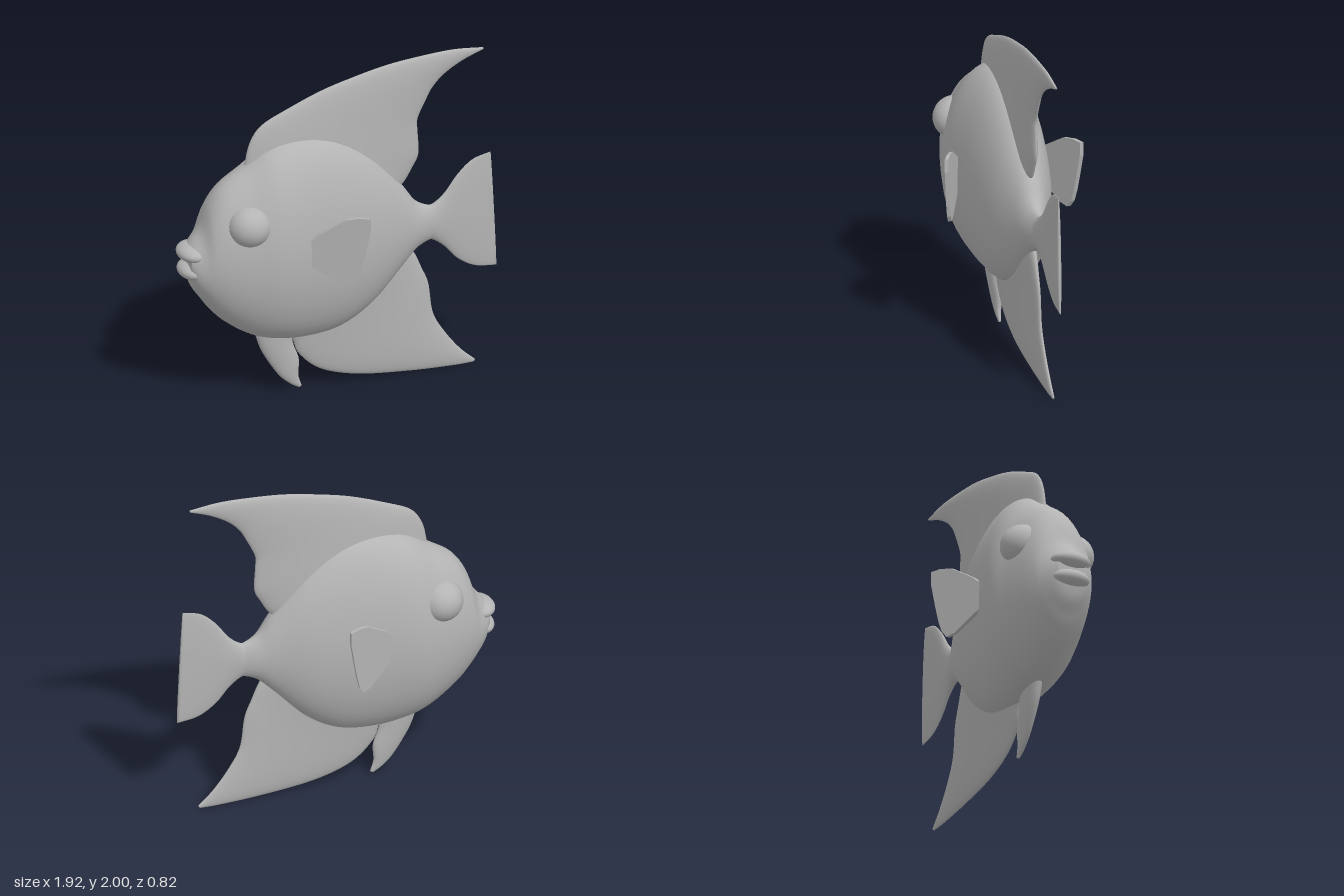
import * as THREE from 'three';

const skin = new THREE.MeshStandardMaterial({ color: 0xb4b4b4 });
skin.name = 'grey skin';

// Lofts lens-shaped sections. Each row is [ax, ay, bx, by, halfWidth]:
// a chord from A to B in the x-y plane, bulging to both sides in z.
function loft(name, rows, steps = 40, sides = 36, bias = 0) {
  const curveA = new THREE.CatmullRomCurve3(rows.map(r => new THREE.Vector3(r[0], r[1], r[4])), false, 'catmullrom', 0.5);
  const curveB = new THREE.CatmullRomCurve3(rows.map(r => new THREE.Vector3(r[2], r[3], 0)), false, 'catmullrom', 0.5);
  const pos = [], idx = [];
  for (let i = 0; i <= steps; i++) {
    const a = curveA.getPoint(i / steps), b = curveB.getPoint(i / steps);
    for (let j = 0; j < sides; j++) {
      const t = j / sides * Math.PI * 2, k = (1 - Math.cos(t)) / 2;
      pos.push(a.x + (b.x - a.x) * k, a.y + (b.y - a.y) * k,
        a.z * Math.sin(t) * (1 - bias * Math.cos(t)));
    }
  }
  for (let i = 0; i < steps; i++) {
    for (let j = 0; j < sides; j++) {
      const p = i * sides + j, q = i * sides + (j + 1) % sides;
      idx.push(p, q, p + sides, q, q + sides, p + sides);
    }
  }
  // End caps
  for (let j = 1; j < sides - 1; j++) {
    const e = steps * sides;
    idx.push(0, j + 1, j, e, e + j, e + j + 1);
  }
  const g = new THREE.BufferGeometry();
  g.setAttribute('position', new THREE.Float32BufferAttribute(pos, 3));
  g.setIndex(idx);
  g.computeVertexNormals();
  const mesh = new THREE.Mesh(g, skin);
  mesh.name = name;
  return mesh;
}

function ellipsoid(name, x, y, z, rx, ry, rz) {
  const mesh = new THREE.Mesh(new THREE.SphereGeometry(1, 32, 20), skin);
  mesh.scale.set(rx, ry, rz);
  mesh.position.set(x, y, z);
  mesh.name = name;
  return mesh;
}

// Thin side fin that swings away from the body toward its rear edge
function pectoralFin(side) {
  const outline = [[-0.285, 1.03], [-0.2, 1.11], [-0.07, 1.205], [0.0, 1.222], [0.055, 1.22], [0.055, 1.14],
    [0.03, 1.0], [0.01, 0.9], [-0.01, 0.83], [-0.04, 0.785], [-0.09, 0.795], [-0.15, 0.835], [-0.245, 0.9], [-0.265, 0.97]];
  const shape = new THREE.Shape(outline.map(p => new THREE.Vector2(p[0], p[1])));
  const g = new THREE.ExtrudeGeometry(shape, { depth: 0.022, bevelEnabled: false });
  const p = g.attributes.position;
  for (let i = 0; i < p.count; i++) {
    const swing = 0.235 + (p.getX(i) + 0.27) * 0.51;
    p.setZ(i, side * swing + p.getZ(i) - 0.011);
  }
  g.computeVertexNormals();
  const mesh = new THREE.Mesh(g, skin);
  mesh.name = side > 0 ? 'leftPectoralFin' : 'rightPectoralFin';
  return mesh;
}

export function createModel() {
  const fish = new THREE.Group();
  fish.name = 'fish';

  // Body, from snout to tail root
  fish.add(loft('body', [
    [-0.91, 1.02, -0.91, 0.85, 0.09],
    [-0.88, 1.06, -0.88, 0.76, 0.12],
    [-0.83, 1.13, -0.83, 0.685, 0.155],
    [-0.78, 1.27, -0.78, 0.615, 0.185],
    [-0.70, 1.38, -0.70, 0.53, 0.215],
    [-0.56, 1.475, -0.56, 0.43, 0.25],
    [-0.40, 1.58, -0.42, 0.375, 0.277],
    [-0.20, 1.61, -0.22, 0.35, 0.255],
    [0.0, 1.56, 0.0, 0.38, 0.225],
    [0.2, 1.42, 0.2, 0.5, 0.18],
    [0.38, 1.21, 0.38, 0.69, 0.11],
    [0.47, 1.085, 0.47, 0.785, 0.075],
    [0.56, 1.04, 0.56, 0.825, 0.04],
    [0.62, 1.05, 0.62, 0.82, 0.025],
  ], 78, 48, 0.05));

  // Tail fin
  fish.add(loft('tailFin', [
    [0.50, 1.04, 0.50, 0.83, 0.05],
    [0.57, 1.042, 0.57, 0.822, 0.04],
    [0.645, 1.10, 0.645, 0.767, 0.03],
    [0.725, 1.207, 0.725, 0.677, 0.024],
    [0.815, 1.286, 0.83, 0.614, 0.018],
    [0.925, 1.318, 0.96, 0.595, 0.01],
  ]));

  // Tall back fin sweeping to a point
  fish.add(loft('dorsalFin', [
    [-0.57, 1.40, 0.34, 1.16, 0.07],
    [-0.56, 1.48, 0.40, 1.21, 0.065],
    [-0.53, 1.61, 0.455, 1.30, 0.058],
    [-0.46, 1.71, 0.49, 1.38, 0.052],
    [-0.31, 1.785, 0.485, 1.52, 0.045],
    [-0.10, 1.87, 0.485, 1.60, 0.04],
    [0.10, 1.925, 0.54, 1.72, 0.034],
    [0.30, 1.968, 0.58, 1.79, 0.028],
    [0.50, 1.99, 0.65, 1.86, 0.022],
    [0.70, 2.0, 0.76, 1.925, 0.015],
    [0.88, 1.985, 0.88, 1.972, 0.006],
  ], 60));

  // Belly fin sweeping to a point
  fish.add(loft('analFin', [
    [0.40, 0.80, -0.32, 0.44, 0.08],
    [0.455, 0.77, -0.27, 0.33, 0.06],
    [0.51, 0.65, -0.23, 0.23, 0.048],
    [0.55, 0.545, -0.10, 0.115, 0.04],
    [0.577, 0.36, 0.12, 0.045, 0.033],
    [0.645, 0.23, 0.43, 0.013, 0.024],
    [0.74, 0.106, 0.70, 0.003, 0.015],
    [0.83, 0.022, 0.82, 0.006, 0.006],
  ], 50));

  // Small fin under the throat
  fish.add(loft('pelvicFin', [
    [-0.27, 0.46, -0.52, 0.48, 0.05],
    [-0.275, 0.36, -0.50, 0.41, 0.045],
    [-0.262, 0.29, -0.455, 0.28, 0.038],
    [-0.232, 0.20, -0.36, 0.125, 0.028],
    [-0.235, 0.10, -0.29, 0.055, 0.018],
    [-0.215, 0.03, -0.235, 0.02, 0.008],
  ], 30));

  // Lips with a slit between them
  fish.add(ellipsoid('upperLip', -0.875, 0.985, 0, 0.09, 0.052, 0.12));
  fish.add(ellipsoid('lowerLip', -0.875, 0.875, 0, 0.085, 0.052, 0.115));

  // Eyes and side fins
  for (const side of [1, -1]) {
    fish.add(ellipsoid(side > 0 ? 'leftEye' : 'rightEye', -0.585, 1.17, side * 0.155, 0.13, 0.125, 0.13));
    fish.add(pectoralFin(side));
  }
  return fish;
}
